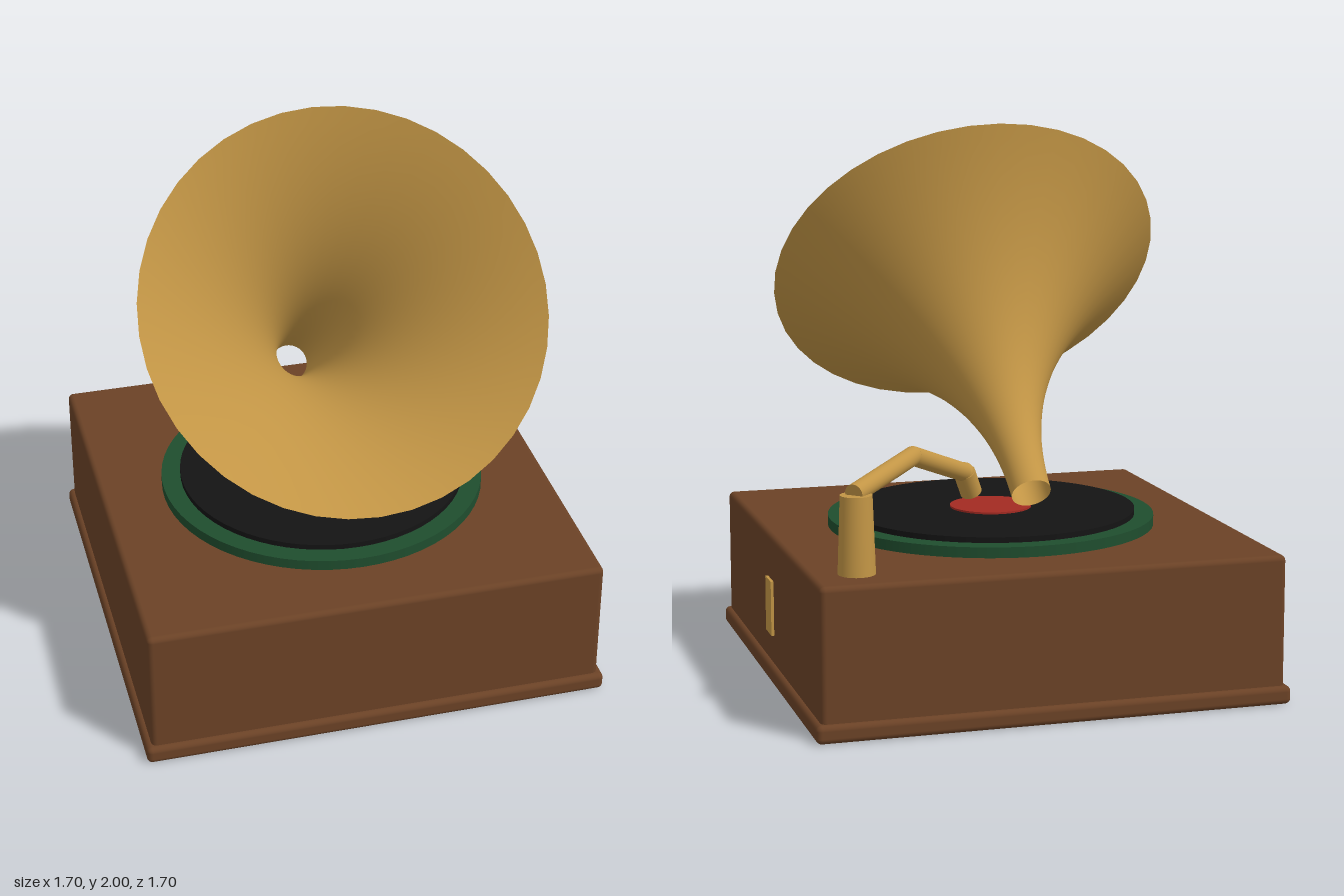
import * as THREE from 'three';
import { RoundedBoxGeometry } from 'three/addons/geometries/RoundedBoxGeometry.js';

const material = (color, side = THREE.FrontSide) => {
  const m = new THREE.MeshStandardMaterial({ side });
  m.color.set(color);
  return m;
};

export function createModel() {
  const model = new THREE.Group();
  model.name = 'gramophone';
  const wood = material(0x6b4226);
  const brass = material(0xc29545);
  const brassThin = material(0xc29545, THREE.DoubleSide);

  const add = (name, geometry, mat, x = 0, y = 0, z = 0, parent = model) => {
    const mesh = new THREE.Mesh(geometry, mat);
    mesh.name = name;
    mesh.position.set(x, y, z);
    parent.add(mesh);
    return mesh;
  };

  // Cylinder running from point a to point b
  const rod = (name, a, b, radius, parent) => {
    const dir = b.clone().sub(a);
    const mid = a.clone().add(b).multiplyScalar(0.5);
    const mesh = add(name, new THREE.CylinderGeometry(radius, radius, dir.length(), 24), brass, mid.x, mid.y, mid.z, parent);
    mesh.quaternion.setFromUnitVectors(new THREE.Vector3(0, 1, 0), dir.normalize());
    return mesh;
  };

  // Wooden case on its plinth, with a brass plate on the left side
  add('plinth', new RoundedBoxGeometry(1.695, 0.065, 1.695, 3, 0.02), wood, 0, 0.0325, 0);
  add('case', new RoundedBoxGeometry(1.655, 0.5, 1.655, 3, 0.02), wood, 0, 0.28, 0);
  add('sidePlate', new THREE.BoxGeometry(0.02, 0.2, 0.1), brass, 0.828, 0.27, 0);

  // Turntable, record and label: radius, bottom, top
  const disc = (name, r, y0, y1, color) =>
    add(name, new THREE.CylinderGeometry(r, r, y1 - y0, 64), material(color), 0, (y0 + y1) / 2, 0);
  disc('turntable', 0.6, 0.525, 0.568, 0x1f4d2e);
  disc('record', 0.53, 0.568, 0.588, 0x141414);
  disc('recordLabel', 0.15, 0.588, 0.595, 0xa32a22);

  // Flared horn, tipped forward from its throat
  const length = 1.1;
  const profile = [];
  for (let i = 0; i <= 32; i++) {
    const t = i / 32;
    profile.push(new THREE.Vector2(0.07 + 0.656 * Math.pow(t, 2.2), t * length));
  }
  const horn = add('horn', new THREE.LatheGeometry(profile, 40), brassThin, 0, 0.735, -0.5);
  horn.rotation.x = THREE.MathUtils.degToRad(50);

  // Tonearm: post, bent tube and sound head
  const tonearm = new THREE.Group();
  tonearm.name = 'tonearm';
  model.add(tonearm);
  add('armPost', new THREE.CylinderGeometry(0.055, 0.065, 0.28, 24), brass, 0.665, 0.66, -0.665, tonearm);
  const pivot = new THREE.Vector3(0.675, 0.805, -0.675);
  const elbow = new THREE.Vector3(0.4, 0.87, -0.4);
  const wrist = new THREE.Vector3(0.14, 0.748, -0.14);
  const tip = new THREE.Vector3(0.105, 0.668, -0.105);
  rod('rearArm', pivot, elbow, 0.034, tonearm);
  rod('frontArm', elbow, wrist, 0.034, tonearm);
  rod('soundHead', wrist, tip, 0.04, tonearm);
  add('elbowJoint', new THREE.SphereGeometry(0.034, 24, 16), brass, elbow.x, elbow.y, elbow.z, tonearm);
  add('wristJoint', new THREE.SphereGeometry(0.037, 24, 16), brass, wrist.x, wrist.y, wrist.z, tonearm);

  return model;
}
